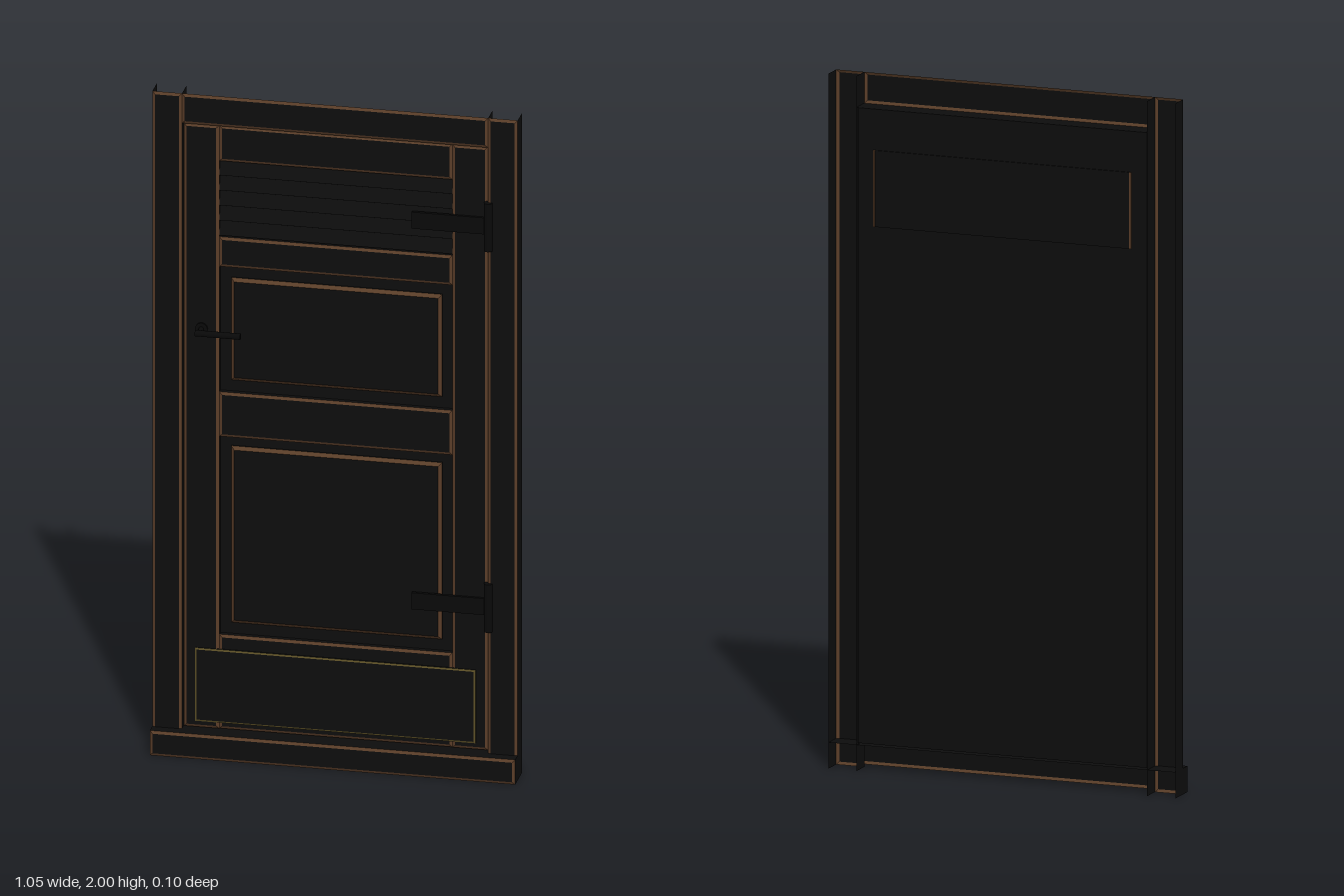
import * as THREE from 'three';

const mat = (color) => new THREE.MeshStandardMaterial({ color, side: THREE.DoubleSide });
const DARK = mat(0x0d0d0d), WORN = mat(0x5a3d28), BRASS = mat(0x5c4f26), IRON = mat(0x090909);

// Four-sided ring of quads between two rectangles [x0, x1, y0, y1, z]; skip holds sides left open.
// Side order: 0 bottom, 1 right (+x), 2 top, 3 left (-x).
function ring(a, b, skip = []) {
  const corners = ([x0, x1, y0, y1, z]) => [[x0, y0, z], [x1, y0, z], [x1, y1, z], [x0, y1, z]];
  const A = corners(a), B = corners(b), pos = [];
  for (let i = 0; i < 4; i++) {
    if (skip.includes(i)) continue;
    const j = (i + 1) % 4;
    pos.push(...A[i], ...A[j], ...B[j], ...A[i], ...B[j], ...B[i]);
  }
  const g = new THREE.BufferGeometry();
  g.setAttribute('position', new THREE.Float32BufferAttribute(pos, 3));
  g.computeVertexNormals();
  return g;
}

// Board with a worn chamfer round its front face and an open back
function board(name, [x0, x1, y0, y1], zBack, zFront, { bevel = 0.008, depth = 0.004, edge = WORN, skip = [] } = {}) {
  const group = new THREE.Group();
  group.name = name;
  const back = [x0, x1, y0, y1, zBack];
  const mid = [x0, x1, y0, y1, zFront - depth];
  const front = [x0 + bevel, x1 - bevel, y0 + bevel, y1 - bevel, zFront];
  const add = (part, geo, m) => {
    const mesh = new THREE.Mesh(geo, m);
    mesh.name = name + part;
    group.add(mesh);
  };
  add('Sides', ring(back, mid, skip), DARK);
  add('Chamfer', ring(mid, front), edge);
  const face = new THREE.PlaneGeometry(front[1] - front[0], front[3] - front[2]);
  face.translate((front[0] + front[1]) / 2, (front[2] + front[3]) / 2, zFront);
  add('Face', face, DARK);
  return group;
}

function block(name, [x0, x1, y0, y1, z0, z1], m = DARK) {
  const mesh = new THREE.Mesh(new THREE.BoxGeometry(x1 - x0, y1 - y0, z1 - z0), m);
  mesh.position.set((x0 + x1) / 2, (y0 + y1) / 2, (z0 + z1) / 2);
  mesh.name = name;
  return mesh;
}

function rod(name, radius, length, x, y, z, axis, m = IRON) {
  const g = new THREE.CylinderGeometry(radius, radius, length, 12);
  if (axis === 'x') g.rotateZ(Math.PI / 2);
  if (axis === 'z') g.rotateX(Math.PI / 2);
  const mesh = new THREE.Mesh(g, m);
  mesh.position.set(x, y, z);
  mesh.name = name;
  return mesh;
}

export function createModel() {
  const model = new THREE.Group();
  model.name = 'door';

  // Surround: channel-shaped jambs and head, open at the back and top
  const frame = new THREE.Group();
  frame.name = 'frame';
  frame.add(
    board('rightJamb', [-0.525, -0.44, 0, 2], -0.05, 0.012, { skip: [0, 2] }),
    board('leftJamb', [0.44, 0.525, 0, 2], -0.05, 0.012, { skip: [0, 2] }),
    board('head', [-0.44, 0.44, 1.91, 2], -0.05, 0.012, { skip: [1, 2, 3] }),
    board('threshold', [-0.525, 0.525, 0, 0.075], -0.05, 0.046, { skip: [0] })
  );
  model.add(frame);

  // Door leaf: core, stiles and rails
  const leaf = new THREE.Group();
  leaf.name = 'leaf';
  leaf.add(block('core', [-0.437, 0.437, 0.08, 1.908, -0.045, -0.018]));
  for (const [name, a, b] of [['rightStile', -0.437, -0.335], ['leftStile', 0.335, 0.437]])
    leaf.add(board(name, [a, b, 0.08, 1.908], -0.018, 0.002));
  const rails = [['topRail', 1.8, 1.908], ['ventRail', 1.48, 1.57], ['lockRail', 0.965, 1.1], ['bottomRail', 0.08, 0.365]];
  for (const [name, y0, y1] of rails)
    leaf.add(board(name, [-0.335, 0.335, y0, y1], -0.018, 0));

  // Raised panels
  for (const [name, y0, y1] of [['upperPanel', 1.135, 1.445], ['lowerPanel', 0.4, 0.935]])
    leaf.add(board(name, [-0.303, 0.303, y0, y1], -0.018, -0.006, { bevel: 0.01, depth: 0.008 }));

  // Louvred vent with its rear plate
  for (let i = 0; i < 5; i++) {
    const slat = block('ventSlat', [-0.335, 0.335, -0.021, 0.021, -0.003, 0.003]);
    slat.position.set(0, 1.594 + i * 0.0455, -0.011);
    slat.rotation.x = -0.35;
    leaf.add(slat);
  }
  leaf.add(block('ventBackPlate', [-0.385, 0.385, 1.57, 1.79, -0.049, -0.045]));
  for (const s of [-1, 1])
    leaf.add(block('ventBackEdge', [s * 0.388 - 0.003, s * 0.388 + 0.003, 1.57, 1.79, -0.05, -0.045], WORN));

  // Kick plate
  leaf.add(board('kickPlate', [-0.403, 0.403, 0.1, 0.322], 0, 0.007, { bevel: 0.005, depth: 0.002, edge: BRASS }));
  model.add(leaf);

  // Strap hinges
  for (const y of [1.672, 0.518]) {
    const hinge = new THREE.Group();
    hinge.name = 'hinge';
    hinge.add(
      block('hingeStrap', [0.22, 0.44, y - 0.025, y + 0.025, 0, 0.01], IRON),
      rod('hingeKnuckle', 0.013, 0.145, 0.441, y, 0.011, 'y')
    );
    model.add(hinge);
  }

  // Lever handle
  const handle = new THREE.Group();
  handle.name = 'handle';
  handle.add(
    rod('handleRose', 0.018, 0.006, -0.385, 1.29, 0.004, 'z'),
    rod('handleSpindle', 0.007, 0.044, -0.385, 1.29, 0.022, 'z'),
    rod('handleLever', 0.009, 0.13, -0.33, 1.29, 0.041, 'x')
  );
  model.add(handle);

  return model;
}
